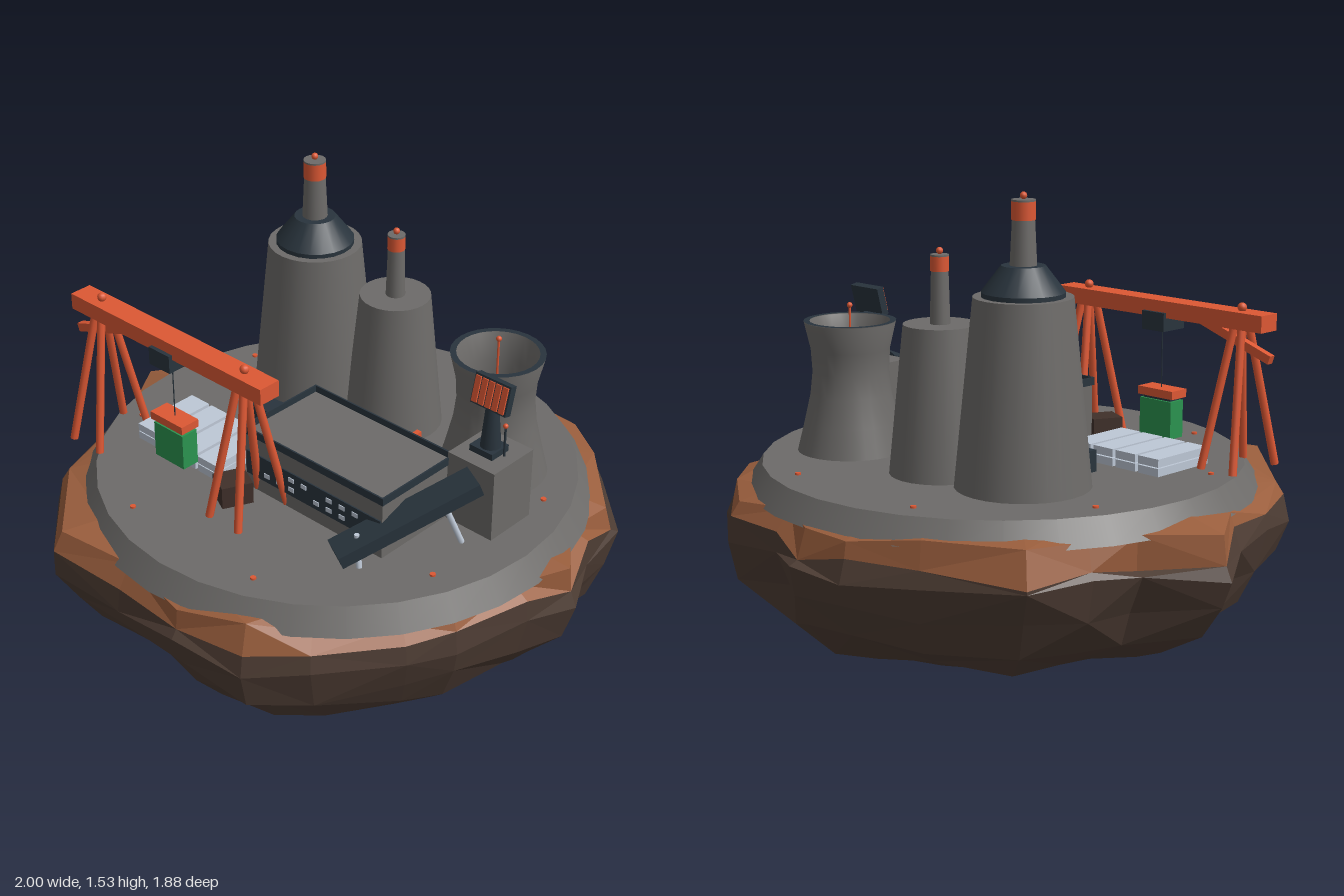
import * as THREE from 'three';

const mat = (name, color, side = THREE.FrontSide) => {
  const m = new THREE.MeshStandardMaterial({ color, side });
  m.name = name;
  return m;
};

export function createModel() {
  const model = new THREE.Group();
  const rockBrown = mat('rock brown', 0x4e3d34);
  const rust = mat('rust soil', 0x9a5e3d);
  const concrete = mat('concrete', 0x6d6b69);
  const steel = mat('dark steel', 0x29343d);
  const orange = mat('signal orange', 0xdd5834);
  const green = mat('container green', 0x2b9450);
  const pale = mat('pale metal', 0xbec8d6);
  const wood = mat('crate brown', 0x40302a);
  const shell = mat('tower concrete', 0x6d6b69, THREE.DoubleSide);
  rockBrown.flatShading = rust.flatShading = true;
  const DECK = 0.575;

  const add = (name, geo, material, x = 0, y = 0, z = 0, parent = model) => {
    const mesh = new THREE.Mesh(geo, material);
    mesh.name = name;
    mesh.position.set(x, y, z);
    parent.add(mesh);
    return mesh;
  };
  // Box given by its extents on each axis
  const box = (name, material, [x0, x1], [y0, y1], [z0, z1], parent) =>
    add(name, new THREE.BoxGeometry(x1 - x0, y1 - y0, z1 - z0), material,
      (x0 + x1) / 2, (y0 + y1) / 2, (z0 + z1) / 2, parent);
  // Upright cylinder or cone from y0 to y1
  const post = (name, material, x, z, y0, y1, r0, r1 = r0, sides = 24) =>
    add(name, new THREE.CylinderGeometry(r1, r0, y1 - y0, sides), material, x, (y0 + y1) / 2, z);
  const ball = (name, x, y, z, r = 0.012) =>
    add(name, new THREE.SphereGeometry(r, 10, 8), orange, x, y, z);
  // Round bar or flat beam between two points
  const bar = (name, material, a, b, r) => {
    const p = new THREE.Vector3(...a), q = new THREE.Vector3(...b), d = q.clone().sub(p);
    const mesh = add(name, new THREE.CylinderGeometry(r, r, d.length(), 8), material);
    mesh.position.copy(p).add(q).multiplyScalar(0.5);
    mesh.quaternion.setFromUnitVectors(new THREE.Vector3(0, 1, 0), d.normalize());
    return mesh;
  };
  const beam = (name, material, a, b, w, h) => {
    const p = new THREE.Vector3(...a), q = new THREE.Vector3(...b);
    const mesh = add(name, new THREE.BoxGeometry(w, h, p.distanceTo(q)), material);
    mesh.position.copy(p).add(q).multiplyScalar(0.5);
    mesh.lookAt(q);
    return mesh;
  };

  // Floating rock: outline scaled ring by ring, with seeded roughness
  let seed = 7;
  const rnd = () => ((seed = (seed * 16807) % 2147483647) / 2147483647) * 2 - 1;
  const outline = [
    [0.03, -0.945], [-0.17, -0.91], [-0.4, -0.79], [-0.71, -0.63], [-0.77, -0.4], [-0.83, -0.24],
    [-1, -0.01], [-0.87, 0.2], [-0.81, 0.42], [-0.72, 0.66], [-0.4, 0.94], [-0.1, 0.925], [0.18, 0.94],
    [0.44, 0.89], [0.61, 0.75], [0.79, 0.5], [0.87, 0.35], [0.94, 0.08], [1, -0.1], [0.88, -0.32],
    [0.87, -0.51], [0.64, -0.73], [0.455, -0.865], [0.19, -0.87]];
  // y, scale, roughness of y, roughness of radius, shift in x
  const levels = [[0, 0.64, 0, 0.03, 0.05], [0.04, 0.76, 0.015, 0.025, 0.04], [0.14, 0.89, 0.03, 0.03, 0.02],
    [0.25, 0.95, 0.035, 0.03, 0.01], [0.37, 1, 0.025, 0, 0], [0.425, 0.98, 0.035, 0.02, 0],
    [0.505, 0.945, 0.02, 0.025, 0], [0.53, 0.82, 0, 0, 0]];
  const rings = levels.map(([y, s, jy, jr, dx]) => outline.map(([x, z]) => {
    const k = s + rnd() * jr;
    return [x * k + dx, y + rnd() * jy, z * k];
  }));
  const loft = (from, to, cap) => {
    const v = [], n = outline.length;
    for (let i = 0; i < n; i++) {
      const j = (i + 1) % n;
      for (let k = from; k < to; k++) {
        const a = rings[k][i], b = rings[k][j], c = rings[k + 1][j], d = rings[k + 1][i];
        if ((i + k) % 2) v.push(...a, ...b, ...c, ...a, ...c, ...d);
        else v.push(...a, ...b, ...d, ...b, ...c, ...d);
      }
      if (cap) v.push(0, 0, 0, ...rings[0][j], ...rings[0][i]);
    }
    const g = new THREE.BufferGeometry();
    g.setAttribute('position', new THREE.Float32BufferAttribute(v, 3));
    g.computeVertexNormals();
    return g;
  };
  add('rock', loft(0, 5, true), rockBrown);
  add('rockRim', loft(5, 7, false), rust);

  // Deck and its ring of marker lamps
  post('deck', concrete, 0.035, 0.015, 0.49, DECK, 0.89, 0.835, 32);
  for (let i = 0; i < 8; i++) {
    const a = (i + 0.5) * Math.PI / 4;
    post('deckLamp', orange, 0.03 + Math.cos(a) * 0.745, 0.015 + Math.sin(a) * 0.745, DECK, DECK + 0.007, 0.01, 0.01, 8);
  }

  // Chimney with a painted top and a beacon
  const chimney = (x, z, y0, band, y1, r0, r1) => {
    post('chimney', concrete, x, z, y0, band, r0, r1, 16);
    post('chimneyBand', orange, x, z, band, y1 - 0.006, r1 + 0.002, r1 + 0.002, 16);
    post('chimneyTop', concrete, x, z, y1 - 0.006, y1, r1 + 0.002, r1 + 0.002, 16);
    ball('beacon', x, y1 + 0.012, z);
  };

  // Tall tower with a dark cap and entrance block
  post('tallTower', concrete, -0.31, -0.24, DECK, 1.2, 0.227, 0.164, 28);
  post('capBase', steel, -0.31, -0.24, 1.2, 1.215, 0.137, 0.137, 20);
  post('cap', steel, -0.31, -0.24, 1.215, 1.3, 0.137, 0.072, 20);
  chimney(-0.31, -0.24, 1.3, 1.445, 1.51, 0.044, 0.037);
  box('towerEntrance', steel, [-0.36, -0.265], [DECK, 0.65], [-0.1, 0.06]);

  // Second tower
  post('middleTower', concrete, 0.005, -0.31, DECK, 1.08, 0.175, 0.124, 28);
  chimney(0.005, -0.31, 1.08, 1.255, 1.31, 0.034, 0.029);
  box('valve', orange, [0.168, 0.188], [DECK, 0.62], [-0.255, -0.22]);

  // Open cooling tower
  const profile = [[0.19, 0], [0.165, 0.1], [0.142, 0.2], [0.133, 0.28], [0.138, 0.36], [0.16, 0.455],
    [0.142, 0.455], [0.124, 0.36], [0.119, 0.28], [0.125, 0.2]];
  add('coolingTower', new THREE.LatheGeometry(profile.map(p => new THREE.Vector2(...p)), 28), shell, 0.465, DECK, -0.308);
  const rim = add('coolingTowerRim', new THREE.RingGeometry(0.14, 0.161, 28), steel, 0.465, 1.033, -0.308);
  rim.rotation.x = -Math.PI / 2;
  post('coolingTowerFloor', concrete, 0.465, -0.308, 0.77, 0.79, 0.125);
  post('beaconPole', orange, 0.465, -0.308, 0.79, 1.08, 0.004, 0.004, 6);
  ball('beacon', 0.465, 1.085, -0.308, 0.01);

  // Factory hall with a thin dark parapet and window band
  box('hall', concrete, [-0.078, 0.54], [DECK, 0.789], [0.004, 0.345]);
  for (const z of [-0.002, 0.345]) box('parapet', steel, [-0.083, 0.547], [0.785, 0.813], [z, z + 0.006]);
  for (const x of [-0.083, 0.54]) box('parapet', steel, [x, x + 0.006], [0.785, 0.813], [-0.002, 0.351]);
  box('windowBand', steel, [-0.07, 0.535], [0.63, 0.72], [0.345, 0.35]);
  for (let i = 0; i < 10; i++)
    for (const y of [0.648, 0.686])
      if ((i * 3 + (y > 0.67 ? 1 : 0)) % 4) box('window', pale, [-0.042 + i * 0.057, -0.018 + i * 0.057], [y, y + 0.016], [0.35, 0.353]);

  // Control block with signal panel
  box('controlBlock', concrete, [0.542, 0.735], [DECK, 0.835], [-0.17, 0.03]);
  box('antennaFoot', steel, [0.585, 0.68], [0.835, 0.858], [-0.11, -0.025]);
  post('antennaPost', steel, 0.638, -0.068, 0.858, 1.01, 0.036, 0.022, 10);
  const panel = new THREE.Group();
  panel.name = 'signalPanel';
  panel.position.set(0.64, 1.055, -0.065);
  panel.rotation.x = -0.25;
  model.add(panel);
  box('panelBack', steel, [-0.072, 0.072], [-0.052, 0.052], [-0.014, 0.014], panel);
  for (let i = 0; i < 5; i++) {
    const x = -0.066 + i * 0.0275;
    box('panelStripe', orange, [x, x + 0.021], [-0.045, 0.045], [0.014, 0.02], panel);
  }
  post('roofPole', steel, 0.69, -0.075, 0.835, 0.94, 0.004, 0.004, 6);
  ball('beacon', 0.69, 0.95, -0.075, 0.009);

  // Conveyor with pale struts
  beam('conveyor', steel, [0.467, 0.63, 0.485], [0.692, 0.812, 0.07], 0.11, 0.045);
  bar('conveyorStrut', pale, [0.67, DECK, 0.1], [0.64, 0.7, 0.14], 0.01);
  bar('conveyorStrut', pale, [0.52, DECK, 0.43], [0.5, 0.67, 0.42], 0.01);
  post('conveyorLamp', pale, 0.5, 0.42, 0.66, 0.69, 0.009, 0.009, 8);

  // Stacked slabs and a crate
  for (let i = 0; i < 4; i++)
    for (let k = 0; k < 2; k++) {
      const x = -0.557 + i * 0.101;
      box('slab', pale, [x, x + 0.088], [DECK + k * 0.032, DECK + k * 0.032 + 0.028], [0.147, 0.405]);
    }
  const crate = box('crate', wood, [-0.1, 0.0], [DECK, 0.655], [0.38, 0.49]);
  crate.rotation.y = -0.45;

  // Gantry crane: beam, splayed legs, brace, trolley and load
  box('craneBeam', orange, [-0.767, 0.148], [1.052, 1.11], [0.407, 0.49]);
  for (const x of [-0.655, 0.035]) {
    for (const sx of [-1, 1])
      for (const sz of [-1, 1])
        bar('craneLeg', orange, [x + sx * 0.068, DECK, 0.448 + sz * 0.115], [x + sx * 0.012, 1.09, 0.448 + sz * 0.015], 0.014);
    ball('craneBeacon', x, 1.122, 0.448, 0.016);
  }
  beam('craneBrace', orange, [-0.78, 0.96, 0.448], [-0.46, 1.07, 0.448], 0.025, 0.03);
  box('trolley', steel, [-0.36, -0.262], [1.005, 1.07], [0.395, 0.505]);
  bar('cable', steel, [-0.311, 0.79, 0.448], [-0.311, 1.01, 0.448], 0.002);
  box('loadSpreader', orange, [-0.39, -0.235], [0.768, 0.797], [0.412, 0.488]);
  box('loadHanger', steel, [-0.37, -0.25], [0.757, 0.768], [0.425, 0.475]);
  box('loadContainer', green, [-0.38, -0.24], [0.625, 0.757], [0.417, 0.483]);

  return model;
}
